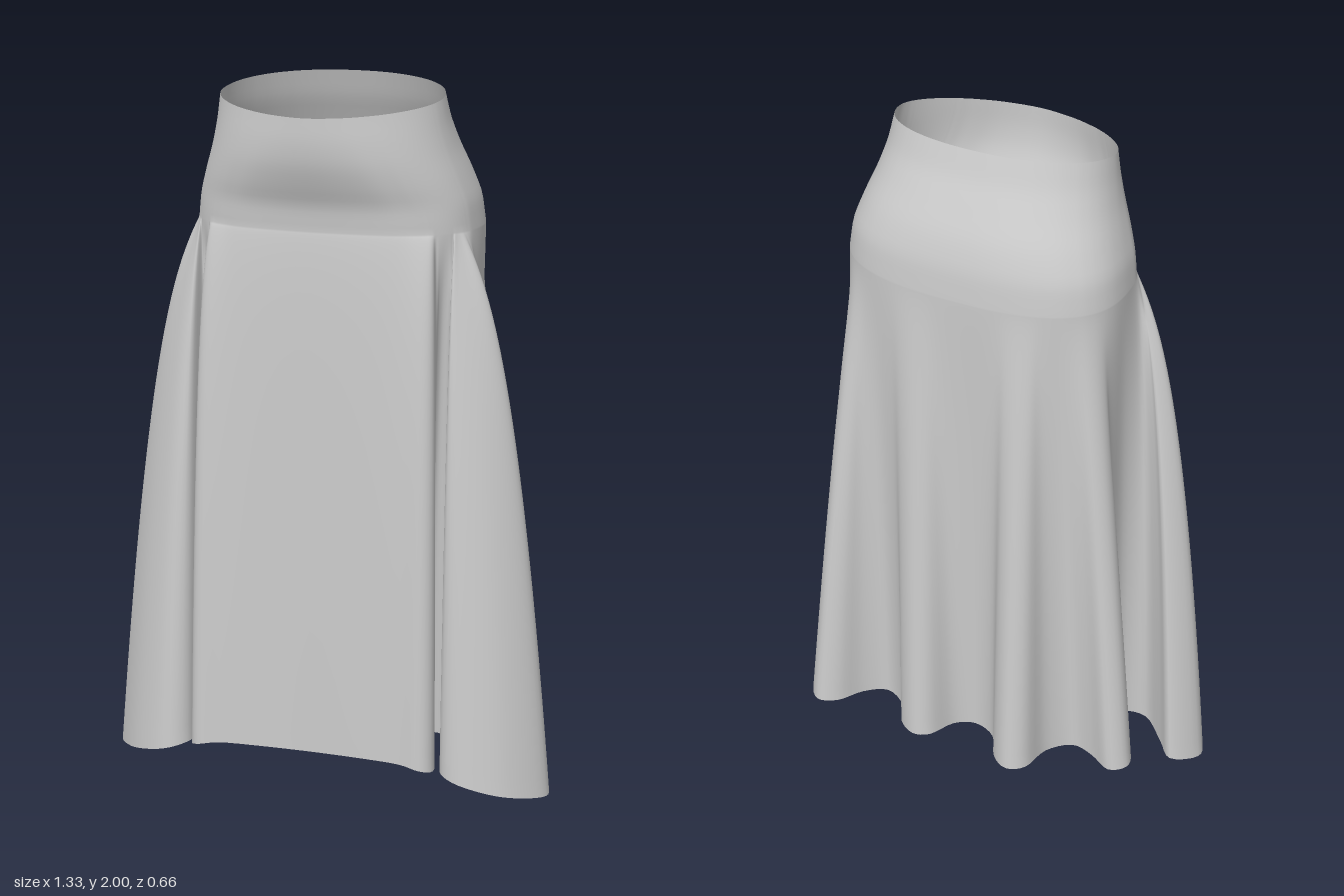
import * as THREE from 'three';

// Hem outline as [x, z, angle at the hip in degrees], counted from the front towards +x.
// Front panel corner, inward pleat and big side flare (mirrored for the right side).
const SIDE = [
  [0.15, 0.302, 22], [0.27, 0.313, 37], [0.335, 0.322, 45], [0.366, 0.285, 48], [0.345, 0.21, 50],
  [0.31, 0.13, 52], [0.27, 0.08, 54], [0.275, 0.03, 56], [0.32, 0.03, 58], [0.36, 0.1, 60],
  [0.375, 0.2, 62], [0.385, 0.28, 63.5], [0.45, 0.312, 65], [0.56, 0.28, 66.5], [0.645, 0.195, 68],
  [0.663, 0.125, 69.5], [0.6, 0.05, 71.5], [0.545, 0.08, 74.5], [0.47, 0.12, 80], [0.40, 0.085, 90],
];
// Back folds, from the left side round to the right side.
const BACK = [
  [0.38, 0.01, 99], [0.38, -0.1, 110], [0.435, -0.167, 118], [0.475, -0.243, 124], [0.433, -0.302, 129],
  [0.373, -0.28, 134], [0.325, -0.21, 140], [0.26, -0.17, 148], [0.19, -0.21, 156], [0.155, -0.28, 162],
  [0.1, -0.315, 167], [0.05, -0.295, 172], [0.01, -0.22, 178], [-0.05, -0.19, 186], [-0.12, -0.22, 193],
  [-0.165, -0.3, 198], [-0.22, -0.333, 203], [-0.27, -0.3, 208], [-0.29, -0.21, 213], [-0.35, -0.15, 220],
  [-0.42, -0.165, 227], [-0.49, -0.203, 235], [-0.535, -0.167, 241], [-0.52, -0.11, 247], [-0.44, -0.075, 254],
  [-0.4, 0.0, 262],
];
const { lerp, clamp, smoothstep, degToRad } = THREE.MathUtils;
// The right flare swings a little further back than the left one.
const mirrored = SIDE.map(([x, z, a]) => [-x, z - 0.045 * smoothstep(x, 0.48, 0.62), 360 - a]).reverse();
const HEM = [[0, 0.298, 0], ...SIDE, ...BACK, ...mirrored];

const HIP_Y = 1.6, UPPER_ROWS = 18, LOWER_ROWS = 46, SAMPLES = HEM.length * 4;
const signedPow = (v, p) => Math.sign(v) * Math.abs(v) ** p;

// Half width, front z and back z from the waist down to the hip.
const yoke = new THREE.CatmullRomCurve3([
  new THREE.Vector3(0.323, 0.325, -0.11),
  new THREE.Vector3(0.334, 0.325, -0.135),
  new THREE.Vector3(0.352, 0.317, -0.17),
  new THREE.Vector3(0.377, 0.297, -0.204),
  new THREE.Vector3(0.4, 0.272, -0.225),
  new THREE.Vector3(0.409, 0.264, -0.232),
]);

// Point on the fitted upper part: v = 0 at the waist, 1 at the hip.
function yokePoint(degrees, v) {
  const { x: half, y: front, z: back } = yoke.getPoint(v);
  const sin = Math.sin(degToRad(degrees)), cos = Math.cos(degToRad(degrees));
  const p = lerp(cos > 0 ? 1.2 : 0.95, 0.78, smoothstep(v, -0.3, 1));
  const x = half * signedPow(sin, p);
  const z = (front + back) / 2 + ((front - back) / 2) * signedPow(cos, p);
  return new THREE.Vector3(x, lerp(1.98 - 0.185 * z, HIP_Y, v), z);
}

// Soft start, so the folds grow out of the hip without a crease.
const EASE = 0.08;
const ease = (t) => (Math.hypot(t, EASE) - EASE) / (Math.hypot(1, EASE) - EASE);

// Point on the flared lower part: t = 0 at the hip, 1 at the hem.
function flarePoint([x, z, degrees], t) {
  const hip = yokePoint(degrees, 1);
  const side = smoothstep(Math.abs(x), 0.36, 0.52) * smoothstep(z, -0.08, 0.02);
  const panel = smoothstep(z, 0.2, 0.29);
  const hemY = 0.1 - 0.1 * clamp((Math.abs(x) - 0.3) / 0.36, 0, 1) * smoothstep(z, -0.1, 0.03);
  const power = lerp(0.8, 0.37, panel), e = ease(t);
  const fx = e ** lerp(power, 0.47, side), fz = e ** lerp(power, 0.62, side);
  return new THREE.Vector3(lerp(hip.x, x, fx), lerp(HIP_Y, hemY, t), lerp(hip.z, z, fz));
}

// Joins closed rings of control points into one smooth sheet.
function loft(rings) {
  const positions = [], index = [];
  rings.forEach((ring, r) => {
    const curve = new THREE.CatmullRomCurve3(ring, true, 'catmullrom', 0.5);
    for (let i = 0; i < SAMPLES; i++) {
      positions.push(...curve.getPoint(i / SAMPLES).toArray());
      if (r === rings.length - 1) continue;
      const a = r * SAMPLES + i, b = r * SAMPLES + ((i + 1) % SAMPLES);
      index.push(a, a + SAMPLES, b + SAMPLES, a, b + SAMPLES, b);
    }
  });
  const geometry = new THREE.BufferGeometry();
  geometry.setAttribute('position', new THREE.Float32BufferAttribute(positions, 3));
  geometry.setIndex(index);
  geometry.computeVertexNormals();
  return geometry;
}

export function createModel() {
  const rings = [];
  for (let k = 0; k < UPPER_ROWS; k++) rings.push(HEM.map((h) => yokePoint(h[2], k / UPPER_ROWS)));
  for (let k = 0; k <= LOWER_ROWS; k++) rings.push(HEM.map((h) => flarePoint(h, (k / LOWER_ROWS) ** 1.5)));

  const cloth = new THREE.MeshStandardMaterial({ color: 0xcccccc, side: THREE.DoubleSide });
  const skirt = new THREE.Mesh(loft(rings), cloth);
  skirt.name = 'skirt';
  const group = new THREE.Group();
  group.name = 'pleatedSkirt';
  group.add(skirt);
  return group;
}
